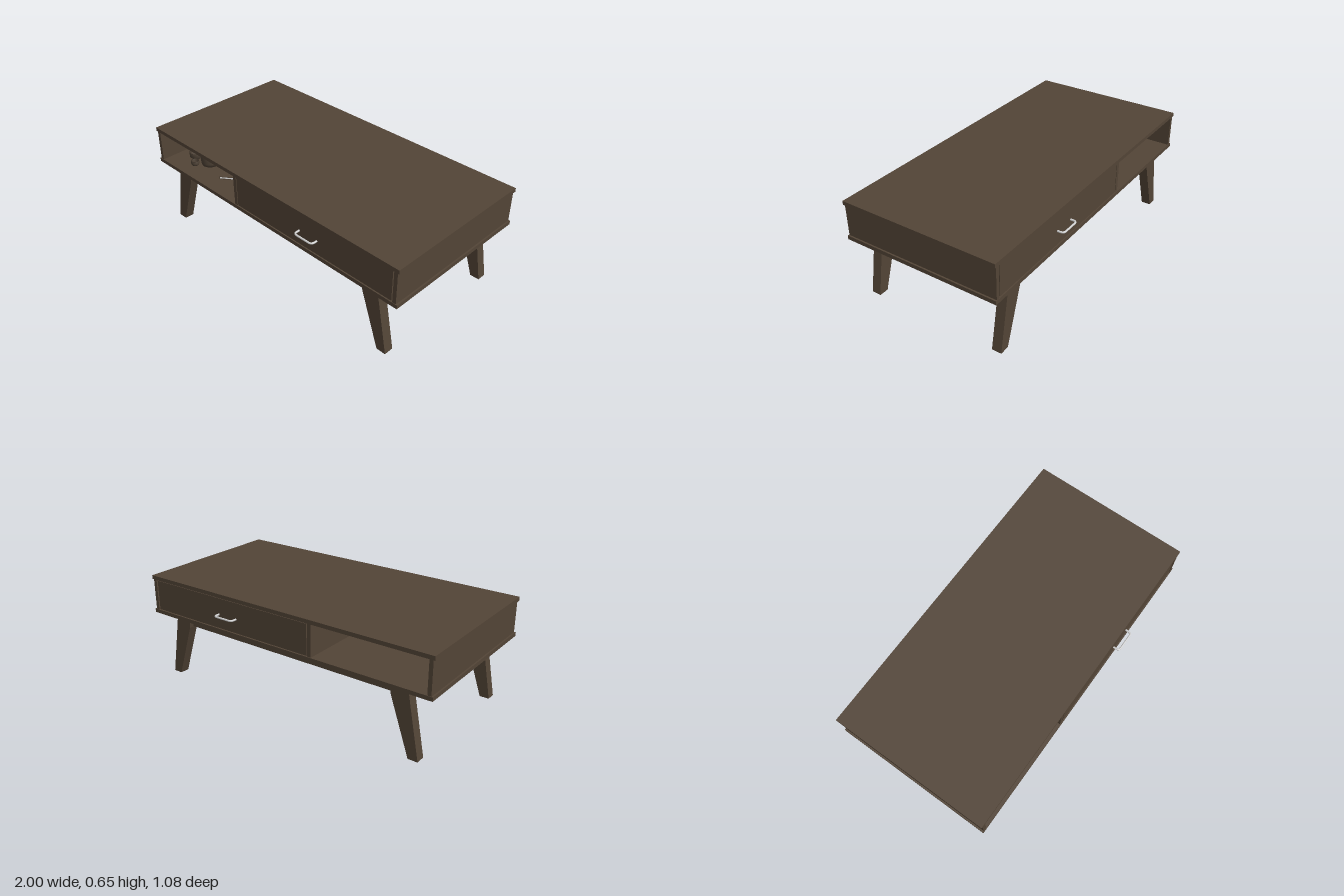
import * as THREE from 'three';

export function createModel() {
  const root = new THREE.Group();
  const mat = (name, color, side = THREE.FrontSide) => {
    const m = new THREE.MeshStandardMaterial({ color, side });
    m.name = name;
    return m;
  };
  const wood = mat('dark wood', 0x524436);
  const metal = mat('pale metal', 0xd0d0d0);
  const paper = mat('paper', 0xececec);
  const clay = mat('brown ceramic', 0x4c4034, THREE.DoubleSide);

  const add = (name, geo, material, parent = root) => {
    const mesh = new THREE.Mesh(geo, material);
    mesh.name = name;
    parent.add(mesh);
    return mesh;
  };
  // Box given by its minimum and maximum on each axis
  const box = (name, [x0, x1], [y0, y1], [z0, z1], material = wood, parent = root) => {
    const mesh = add(name, new THREE.BoxGeometry(x1 - x0, y1 - y0, z1 - z0), material, parent);
    mesh.position.set((x0 + x1) / 2, (y0 + y1) / 2, (z0 + z1) / 2);
    return mesh;
  };
  // Side profile in x and y, extruded from z0 to z1
  const slab = (name, shape, z0, z1) => {
    const geo = new THREE.ExtrudeGeometry(shape, { depth: z1 - z0, bevelEnabled: false, curveSegments: 8 });
    add(name, geo.translate(0, 0, z0), wood);
  };

  // Cabinet
  box('tableTop', [-1, 1], [0.626, 0.65], [-0.5, 0.5]);
  box('bottomShelf', [-1, 1], [0.404, 0.428], [-0.5, 0.5]);
  box('leftPanel', [0.967, 0.99], [0.428, 0.626], [-0.497, 0.497]);
  box('rightPanel', [-0.99, -0.967], [0.428, 0.626], [-0.497, 0.497]);
  box('divider', [-0.245, -0.221], [0.428, 0.626], [-0.495, 0.495]);

  // Drawer that opens to both sides
  const drawer = new THREE.Group();
  drawer.name = 'drawer';
  root.add(drawer);
  box('drawerBase', [-0.2, 0.945], [0.433, 0.445], [-0.475, 0.475], wood, drawer);
  for (const x of [-0.2, 0.93])
    box('drawerSide', [x, x + 0.015], [0.445, 0.6], [-0.475, 0.475], wood, drawer);
  for (const s of [-1, 1]) {
    const z = s * 0.485;
    box('drawerFront', [-0.216, 0.959], [0.431, 0.621], [z - 0.01, z + 0.01], wood, drawer);
    // Handle: a rounded U lying flat
    const v = (x, d) => new THREE.Vector3(x, 0.519, s * d);
    const path = new THREE.CurvePath();
    path.add(new THREE.LineCurve3(v(0.304, 0.49), v(0.304, 0.512)));
    path.add(new THREE.QuadraticBezierCurve3(v(0.304, 0.512), v(0.304, 0.534), v(0.326, 0.534)));
    path.add(new THREE.LineCurve3(v(0.326, 0.534), v(0.416, 0.534)));
    path.add(new THREE.QuadraticBezierCurve3(v(0.416, 0.534), v(0.438, 0.534), v(0.438, 0.512)));
    path.add(new THREE.LineCurve3(v(0.438, 0.512), v(0.438, 0.49)));
    add('handle', new THREE.TubeGeometry(path, 40, 0.006, 10), metal, drawer);
  }

  // Long rails with upswept ends
  const rail = new THREE.Shape();
  rail.moveTo(-0.95, 0.404);
  rail.quadraticCurveTo(-0.95, 0.385, -0.925, 0.381);
  rail.lineTo(-0.74, 0.348);
  rail.lineTo(0.74, 0.348);
  rail.lineTo(0.925, 0.381);
  rail.quadraticCurveTo(0.95, 0.385, 0.95, 0.404);
  slab('frontRail', rail, 0.39, 0.43);
  slab('backRail', rail, -0.43, -0.39);

  for (const s of [-1, 1]) {
    box('crossRail', [s * 0.72 - 0.02, s * 0.72 + 0.02], [0.35, 0.404], [-0.39, 0.39]);
    // Splayed, tapering legs
    const leg = new THREE.Shape([[0.73, 0.404], [0.738, 0.345], [0.855, 0], [0.915, 0], [0.84, 0.404]]
      .map(([x, y]) => new THREE.Vector2(s * x, y)));
    slab('frontLeg', leg, 0.4, 0.46);
    slab('backLeg', leg, -0.46, -0.4);
  }

  // Open pots on the shelf
  const pot = (name, x, z, r, foot, h) => {
    const t = 0.005;
    const profile = [[0, 0], [foot, 0], [r, h * 0.3], [r, h], [r - t, h], [r - t, h * 0.35], [foot - t, t], [0, t]]
      .map(p => new THREE.Vector2(...p));
    add(name, new THREE.LatheGeometry(profile, 28), clay).position.set(x, 0.428, z);
  };
  pot('largePot', -0.715, 0.31, 0.06, 0.056, 0.067);
  pot('mediumPot', -0.838, 0.33, 0.043, 0.03, 0.042);
  pot('smallPot', -0.772, 0.39, 0.026, 0.022, 0.028);

  // Book laid at an angle
  const book = new THREE.Group();
  book.name = 'book';
  book.position.set(-0.495, 0.428, 0.21);
  book.rotation.y = 0.62;
  root.add(book);
  box('backCover', [-0.13, 0.13], [0, 0.004], [-0.13, 0.13], wood, book);
  box('pages', [-0.126, 0.128], [0.004, 0.014], [-0.128, 0.128], paper, book);
  box('frontCover', [-0.13, 0.13], [0.014, 0.018], [-0.13, 0.13], wood, book);
  box('spine', [-0.13, -0.126], [0.004, 0.014], [-0.13, 0.13], wood, book);

  return root;
}
